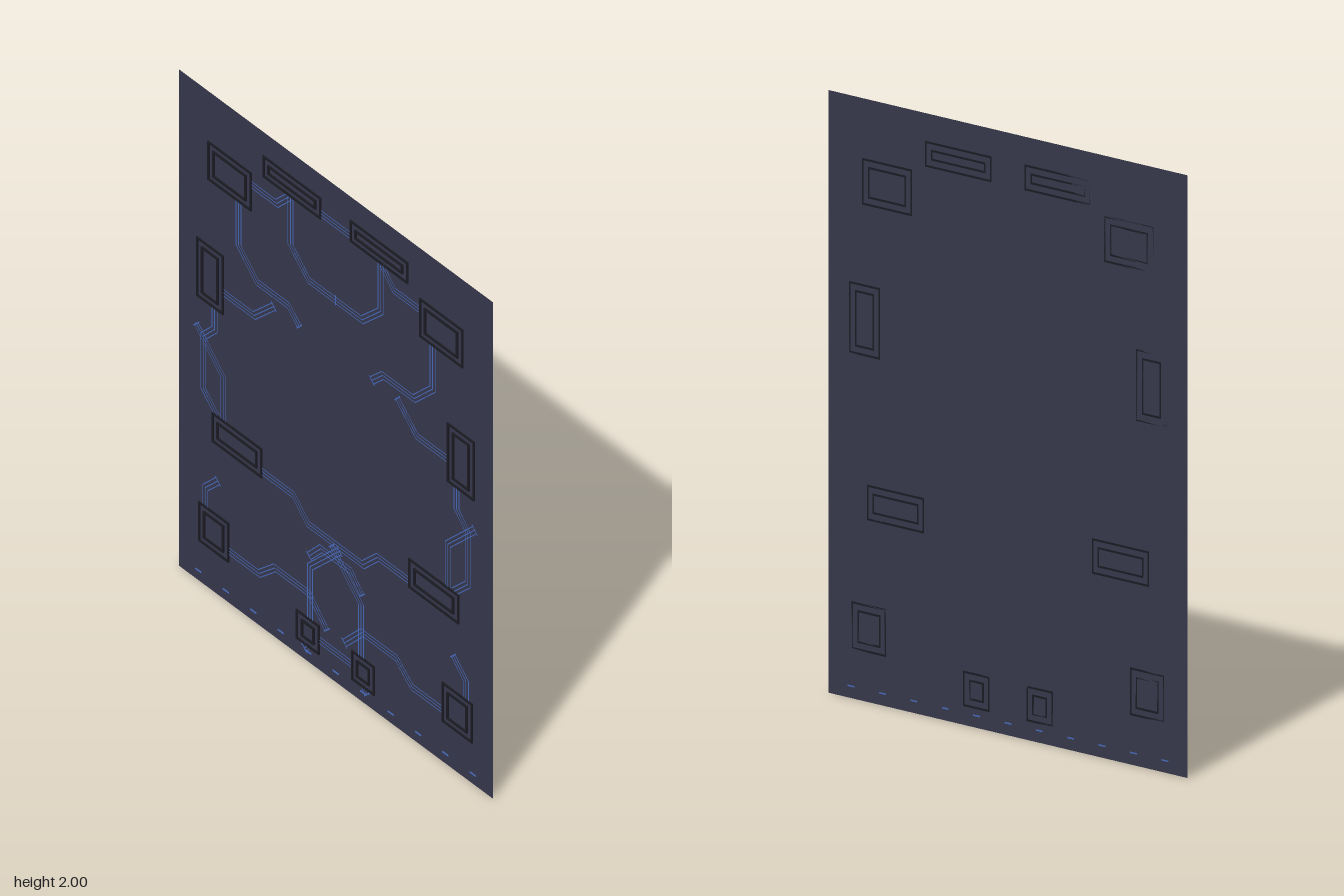
import * as THREE from 'three';

const mat = (color) => new THREE.MeshStandardMaterial({ color });
const boardMat = mat(0x35364a);
boardMat.side = THREE.DoubleSide;
const traceMat = mat(0x4668b8);
const chipMat = mat(0x1a1a22);
const BOARD_Z = -0.003;

// Shift a polyline sideways by d with mitred corners
function offset(pts, d) {
  const normal = (a, b) => new THREE.Vector2(a.y - b.y, b.x - a.x).normalize();
  return pts.map((p, i) => {
    const n1 = normal(pts[Math.max(i - 1, 0)], pts[Math.max(i, 1)]);
    const last = pts.length - 1;
    const n2 = normal(pts[Math.min(i, last - 1)], pts[Math.min(i + 1, last)]);
    const m = n1.clone().add(n2).normalize();
    return p.clone().addScaledVector(m, d / m.dot(n1));
  });
}

// Flat strip following a polyline
function strip(pts, width) {
  const edge = [...offset(pts, width / 2), ...offset(pts, -width / 2).reverse()];
  return new THREE.Mesh(new THREE.ShapeGeometry(new THREE.Shape(edge)), traceMat);
}

// Three parallel lines, with an optional crossbar at the free end
function trace(name, coords, side, capped) {
  const g = new THREE.Group();
  g.name = name;
  const pts = coords.map(([x, y]) => new THREE.Vector2(x * side, y));
  for (const d of [-0.013, 0, 0.013]) g.add(strip(offset(pts, d), 0.0035));
  if (capped) {
    const ends = [-0.02, 0.02].map((d) => offset(pts, d)[pts.length - 1]);
    g.add(strip(ends, 0.005));
  }
  g.position.z = BOARD_Z + 0.002;
  return g;
}

// Thin raised rectangular outline
function frame(w, h, depth) {
  const rect = (Kind, a, b) => new Kind([[-a, -b], [a, -b], [a, b], [-a, b]]
    .map(([x, y]) => new THREE.Vector2(x, y)));
  const s = rect(THREE.Shape, w / 2, h / 2);
  s.holes.push(rect(THREE.Path, w / 2 - 0.007, h / 2 - 0.007));
  return new THREE.Mesh(new THREE.ExtrudeGeometry(s, { depth, bevelEnabled: false }), chipMat);
}

export function createModel() {
  const model = new THREE.Group();
  model.name = 'circuitPanel';

  const board = new THREE.Mesh(new THREE.PlaneGeometry(1.6, 2), boardMat);
  board.name = 'board';
  board.position.set(0, 1, BOARD_Z);
  model.add(board);

  // Chip outlines: centre x, centre y, width, height
  const chips = [
    [0.222, 1.865, 0.296, 0.086], [0.54, 1.724, 0.222, 0.155],
    [0.64, 1.264, 0.138, 0.238], [0.502, 0.662, 0.256, 0.118],
    [0.621, 0.243, 0.155, 0.159], [0.141, 0.121, 0.118, 0.118],
  ];
  // Traces: name, points, crossbar at the end
  const traces = [
    ['upperLoopTrace', [[0.23, 1.823], [0.23, 1.63], [0.135, 1.54], [0, 1.54]], true],
    ['upperLinkTrace', [[0.429, 1.754], [0.3, 1.754], [0.235, 1.82]], false],
    ['shoulderTrace', [[0.495, 1.648], [0.495, 1.472], [0.4, 1.378], [0.24, 1.378], [0.185, 1.325]], true],
    ['inwardTrace', [[0.571, 1.235], [0.415, 1.235], [0.315, 1.33]], true],
    ['outerSideTrace', [[0.617, 1.145], [0.617, 1.06], [0.675, 1.0], [0.675, 0.79], [0.603, 0.72]], false],
    ['innerSideTrace', [[0.573, 0.72], [0.573, 0.893], [0.71, 1.03]], true],
    ['middleLoopTrace', [[0.375, 0.63], [0.215, 0.63], [0.14, 0.556], [0, 0.556]], false],
    ['lowerTrace', [[0.545, 0.21], [0.39, 0.21], [0.31, 0.28], [0.135, 0.28], [0.045, 0.185]], true],
    ['hookTrace', [[0.665, 0.323], [0.665, 0.395], [0.6, 0.46]], true],
    ['crossingTrace', [[0.13, 0.18], [0.13, 0.39], [-0.02, 0.54]], true],
    ['archTrace', [[0, 0.495], [0.075, 0.495], [0.135, 0.43]], true],
    ['topBridgeTrace', [[0.074, 1.845], [0, 1.845]], false],
    ['bottomBridgeTrace', [[0.085, 0.122], [0, 0.122]], false],
    ['footTrace', [[0.145, 0.062], [0.16, 0.045]], true],
  ];
  for (const side of [-1, 1]) {
    for (const [x, y, w, h] of chips) {
      const chip = new THREE.Group();
      chip.name = 'chip';
      chip.add(frame(w, h, 0.005), frame(w - 0.052, h - 0.05, 0.006));
      chip.position.set(x * side, y, BOARD_Z);
      model.add(chip);
    }
    for (const [name, pts, capped] of traces) model.add(trace(name, pts, side, capped));
  }

  // Row of contact dashes along the bottom edge
  for (let i = -5; i <= 5; i++) {
    const dash = new THREE.Mesh(new THREE.BoxGeometry(0.03, 0.005, 0.003), traceMat);
    dash.name = 'contactDash';
    dash.position.set(i * 0.14, 0.04, BOARD_Z + 0.001);
    model.add(dash);
  }
  return model;
}
